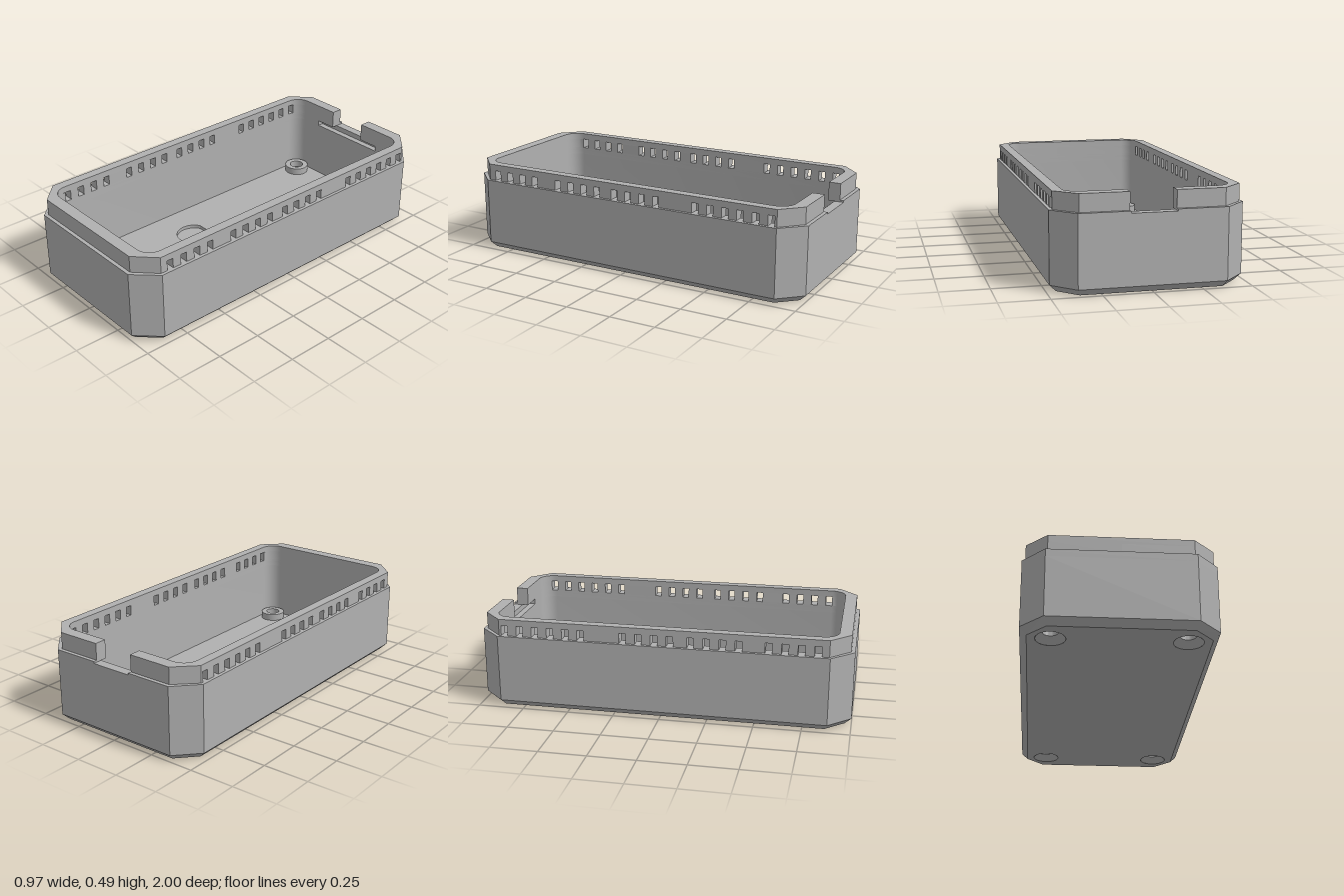
import * as THREE from 'three';
import { toCreasedNormals } from 'three/addons/utils/BufferGeometryUtils.js';

// Plan coordinates are (x, -z): the back of the case is +y in plan.
const BODY = { hw: 0.485, hl: 1.0, cx: 0.37, cz: 0.88 };
const BASE = { hw: 0.45, hl: 0.965, cx: 0.355, cz: 0.865 };
const LIP = { hw: 0.468, hl: 0.98, cx: 0.36, cz: 0.875 };
const IN = { hw: 0.415, hl: 0.915, r: 0.08 };
const NOTCH = 0.115, FLOOR = 0.035, RIM = 0.4, SLOT_TOP = 0.455, TOP = 0.49;
const SCREW = { x: 0.335, z: 0.833 };

// Octagon, counter-clockwise, starting at the back edge
const octagon = ({ hw, hl, cx, cz }) => [
  [-cx, hl], [-hw, cz], [-hw, -cz], [-cx, -hl], [cx, -hl], [hw, -cz], [hw, cz], [cx, hl],
];

// One rounded cavity corner, from angle a0 clockwise by a quarter turn
function corner(sx, sy, a0) {
  return Array.from({ length: 9 }, (_, i) => {
    const a = a0 - (i / 8) * Math.PI / 2;
    return [sx * (IN.hw - IN.r) + IN.r * Math.cos(a), sy * (IN.hl - IN.r) + IN.r * Math.sin(a)];
  });
}
const cavity = () => [
  ...corner(1, 1, Math.PI / 2), ...corner(1, -1, 0),
  ...corner(-1, -1, -Math.PI / 2), ...corner(-1, 1, -Math.PI),
];

const points = (list) => list.map(([x, y]) => new THREE.Vector2(x, y));
function makeShape(outline, holes = []) {
  const s = new THREE.Shape(points(outline));
  holes.forEach((h) => s.holes.push(h));
  return s;
}
const pathOf = (list) => new THREE.Path(points(list));

// Horizontal layer of a plan shape between two heights
function layer(shape, y0, y1) {
  const g = new THREE.ExtrudeGeometry(shape, { depth: y1 - y0, bevelEnabled: false, curveSegments: 32 });
  g.rotateX(-Math.PI / 2).translate(0, y0, 0);
  return toCreasedNormals(g, 0.5);
}

// Wall ring left open at the back for the connector notch
const notchedRing = (o) => makeShape([
  [-NOTCH, o.hl], ...octagon(o), [NOTCH, o.hl], [NOTCH, IN.hl], ...cavity(), [-NOTCH, IN.hl],
]);

function circlePath(x, y, r) {
  const p = new THREE.Path();
  p.absarc(x, y, r, 0, Math.PI * 2, false);
  return p;
}
const screwHoles = (r) => [-1, 1].flatMap((sx) =>
  [-1, 1].map((sz) => circlePath(sx * SCREW.x, sz * SCREW.z, r)));

// Round recess with one flat edge towards the back
function recess(x, P) {
  const p = new P();
  const a = Math.asin(0.085 / 0.097);
  p.absarc(x, -0.16, 0.097, Math.PI - a, Math.PI * 2 + a, false);
  p.closePath();
  return p;
}

export function createModel() {
  const group = new THREE.Group();
  const grey = new THREE.MeshStandardMaterial({ color: 0xb0b0b0 });
  grey.name = 'case grey';
  const add = (name, geometry, parent = group) => {
    const m = new THREE.Mesh(geometry, grey);
    m.name = name;
    parent.add(m);
    return m;
  };

  // Underside with screw openings
  const under = new THREE.ShapeGeometry(makeShape(octagon(BASE), screwHoles(0.075)), 32);
  add('underside', under.rotateX(Math.PI / 2));

  // Sloped edge between the underside and the walls
  const lo = octagon(BASE), hi = octagon(BODY), pos = [];
  lo.forEach((_, i) => {
    const j = (i + 1) % lo.length;
    const a = [lo[i][0], 0, -lo[i][1]], b = [lo[j][0], 0, -lo[j][1]];
    const c = [hi[j][0], FLOOR, -hi[j][1]], d = [hi[i][0], FLOOR, -hi[i][1]];
    pos.push(...a, ...b, ...c, ...a, ...c, ...d);
  });
  const chamfer = new THREE.BufferGeometry();
  chamfer.setAttribute('position', new THREE.Float32BufferAttribute(pos, 3));
  chamfer.computeVertexNormals();
  add('bottomChamfer', chamfer);

  // Inner floor with two shallow recesses
  const floorHoles = [...screwHoles(0.068), recess(-0.165, THREE.Path), recess(0.165, THREE.Path)];
  add('floor', layer(makeShape(cavity(), floorHoles), 0.015, FLOOR));
  for (const x of [-0.165, 0.165]) {
    const g = new THREE.ShapeGeometry(recess(x, THREE.Shape), 32);
    add('recessBottom', g.rotateX(-Math.PI / 2).translate(0, 0.015, 0));
  }

  // Screw bosses with countersunk holes
  const bossProfile = points([[0.07, FLOOR], [0.07, 0.075], [0.04, 0.075], [0.04, FLOOR], [0.075, 0]]);
  const boss = toCreasedNormals(new THREE.LatheGeometry(bossProfile, 32), 0.5);
  for (const sx of [-1, 1]) for (const sz of [-1, 1]) {
    add('screwBoss', boss).position.set(sx * SCREW.x, 0, sz * SCREW.z);
  }

  // Main walls, with a board groove inside the back wall
  const g = 0.235, deep = IN.hl + 0.035;
  const grooved = [...cavity(), [-g, IN.hl], [-g, deep], [g, deep], [g, IN.hl]];
  add('mainWalls', layer(makeShape(octagon(BODY), [pathOf(cavity())]), FLOOR, 0.36));
  add('groovedWalls', layer(makeShape(octagon(BODY), [pathOf(grooved)]), 0.36, 0.39));
  add('wallRim', layer(notchedRing(BODY), 0.39, RIM));

  // Lip above the vents
  add('lipTop', layer(notchedRing(LIP), SLOT_TOP, TOP));

  // Vent slots: centres along z, in four groups
  const pitch = 0.0837, half = 0.018;
  const slots = [[0.818, 4], [0.413, 4], [0.053, 4], [-0.426, 6]]
    .flatMap(([z, n]) => Array.from({ length: n }, (_, i) => z - i * pitch));
  const vents = new THREE.Group();
  vents.name = 'ventedLip';
  group.add(vents);

  // Lip ends in front of the first slot and behind the last one
  const lipEnd = (sx, sy, cut, n) => makeShape([
    [LIP.hw, cut], [LIP.hw, LIP.cz], [LIP.cx, LIP.hl], [n, LIP.hl], [n, IN.hl],
    ...corner(1, 1, Math.PI / 2).filter((p) => p[1] > cut + 0.002), [0.411, cut],
  ].map(([x, y]) => [sx * x, sy * y]));
  const frontCut = slots[0] + half, backCut = -slots[slots.length - 1] + half;
  for (const sx of [-1, 1]) {
    add('lipFront', layer(lipEnd(sx, -1, frontCut, 0), RIM, SLOT_TOP), vents);
    add('lipBack', layer(lipEnd(sx, 1, backCut, NOTCH), RIM, SLOT_TOP), vents);
    // Pillars between neighbouring slots
    for (let i = 0; i < slots.length - 1; i++) {
      const z0 = slots[i] - half, z1 = slots[i + 1] + half;
      const pillar = new THREE.BoxGeometry(LIP.hw - IN.hw, SLOT_TOP - RIM, z0 - z1);
      add('ventPillar', pillar, vents).position.set(
        sx * (LIP.hw + IN.hw) / 2, (SLOT_TOP + RIM) / 2, (z0 + z1) / 2);
    }
  }
  return group;
}
